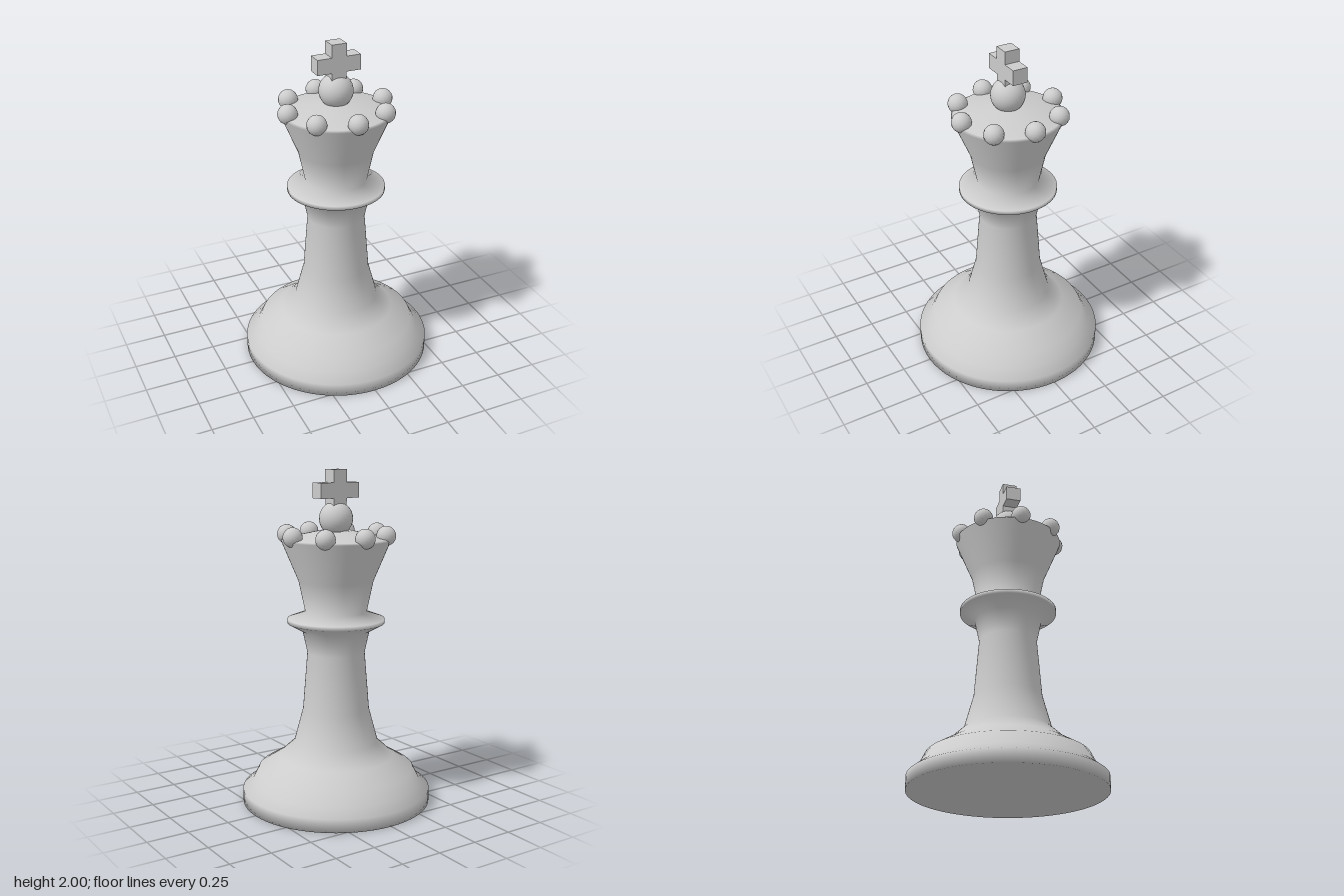
import * as THREE from 'three';

export function createModel() {
  const group = new THREE.Group();
  const grey = new THREE.MeshStandardMaterial({ color: 0xcccccc });
  grey.name = 'light grey';

  const add = (name, geometry, x, y, z, parent = group) => {
    const mesh = new THREE.Mesh(geometry, grey);
    mesh.name = name;
    mesh.position.set(x, y, z);
    parent.add(mesh);
    return mesh;
  };

  // Turned body: foot, stem, collar, flared head and shallow dome
  const profile = [
    [0, 0], [0.57, 0], [0.57, 0.08], [0.51, 0.125], [0.47, 0.205],
    [0.345, 0.28], [0.255, 0.365], [0.2, 0.57], [0.172, 0.92],
    [0.2, 1.05], [0.29, 1.1], [0.29, 1.125], [0.183, 1.165],
    [0.222, 1.35], [0.323, 1.59], [0.308, 1.6], [0.225, 1.618],
    [0.1, 1.645], [0, 1.65],
  ].map(([r, y]) => new THREE.Vector2(r, y));
  add('body', new THREE.LatheGeometry(profile, 64), 0, 0, 0);

  // Ring of eight beads around the rim
  const crown = new THREE.Group();
  crown.name = 'crownBeads';
  group.add(crown);
  const beadGeometry = new THREE.SphereGeometry(0.058, 16, 12);
  for (let i = 0; i < 8; i++) {
    const a = (i / 8) * Math.PI * 2;
    add('crownBead', beadGeometry, Math.cos(a) * 0.297, 1.62, Math.sin(a) * 0.297, crown);
  }

  // Finial ball and cross
  add('finialBall', new THREE.SphereGeometry(0.1, 24, 16), 0, 1.716, 0);
  const cross = new THREE.Group();
  cross.name = 'cross';
  group.add(cross);
  add('crossPost', new THREE.BoxGeometry(0.09, 0.24, 0.09), 0, 1.88, 0, cross);
  for (const side of [-1, 1]) {
    add('crossArm', new THREE.BoxGeometry(0.087, 0.09, 0.09), side * 0.0885, 1.88, 0, cross);
  }

  return group;
}
